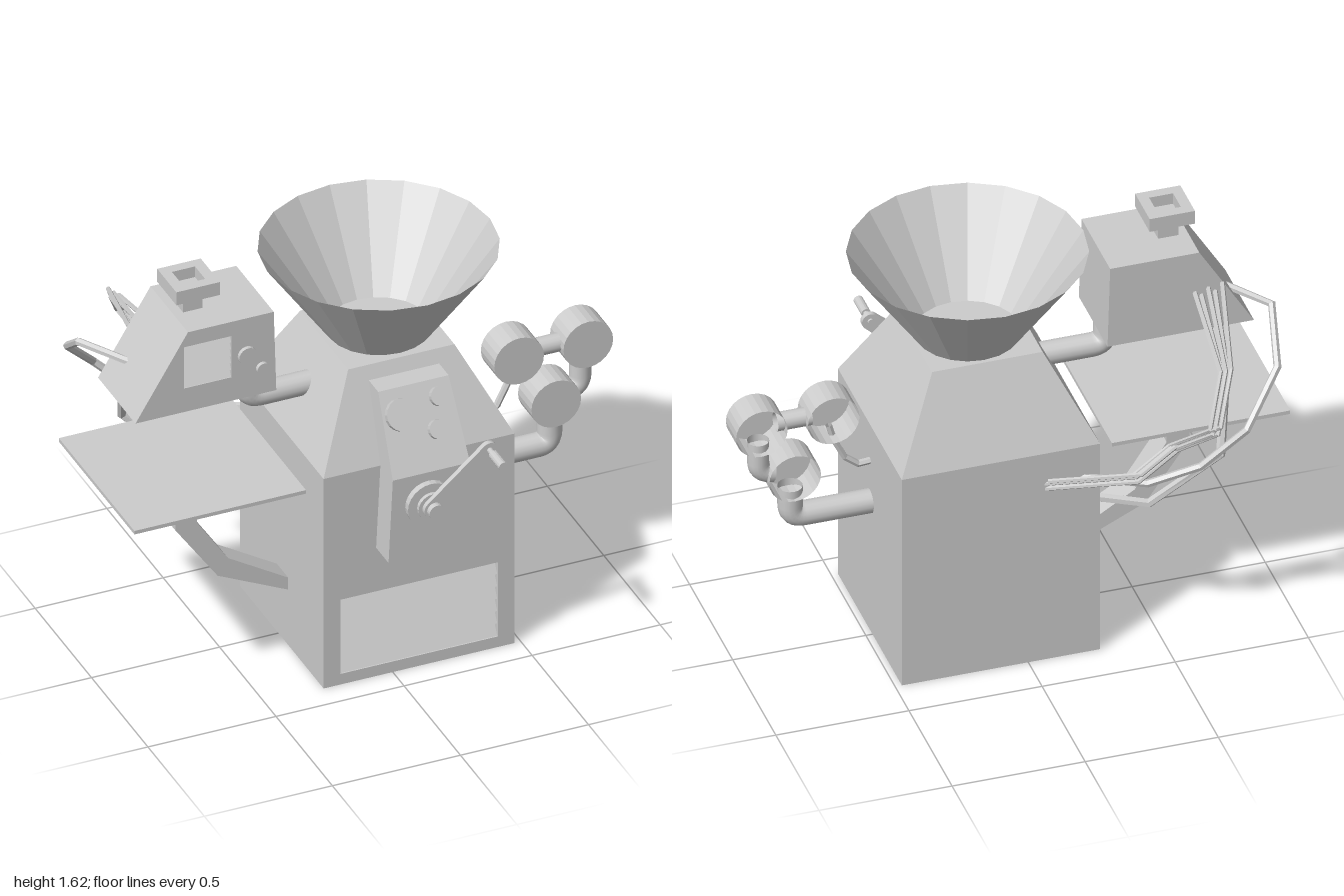
import * as THREE from 'three';

const mat = new THREE.MeshStandardMaterial({ color: 0xcccccc, flatShading: true });
const thin = new THREE.MeshStandardMaterial({ color: 0xcccccc, flatShading: true, side: THREE.DoubleSide });
const smooth = new THREE.MeshStandardMaterial({ color: 0xcccccc, side: THREE.DoubleSide });

// Curve through straight segments, sampled exactly at its corners
class Polyline extends THREE.Curve {
  constructor(points) { super(); this.points = points; }
  getPointAt(u) { return this.points[Math.round(u * (this.points.length - 1))].clone(); }
  getTangentAt(u) {
    const p = this.points, i = Math.round(u * (p.length - 1));
    const t = new THREE.Vector3();
    if (i > 0) t.add(p[i].clone().sub(p[i - 1]).normalize());
    if (i < p.length - 1) t.add(p[i + 1].clone().sub(p[i]).normalize());
    return t.normalize();
  }
}

const vectors = (pts) => pts.map((p) => new THREE.Vector3(...p));

// Replaces inner corners by short arcs
function rounded(points, r) {
  const out = [points[0]];
  for (let i = 1; i < points.length - 1; i++) {
    const c = points[i];
    const a = c.clone().add(points[i - 1].clone().sub(c).setLength(r));
    const b = c.clone().add(points[i + 1].clone().sub(c).setLength(r));
    out.push(...new THREE.QuadraticBezierCurve3(a, c, b).getPoints(6));
  }
  out.push(points[points.length - 1]);
  return out;
}

const polygon = (pts) => new THREE.Shape(pts.map((p) => new THREE.Vector2(...p)));
const rect = (x0, x1, y0, y1) => [[x0, y0], [x1, y0], [x1, y1], [x0, y1]];

function extrude(pts, z0, z1, hole) {
  const shape = polygon(pts);
  if (hole) shape.holes.push(polygon(hole));
  return new THREE.ExtrudeGeometry(shape, { depth: z1 - z0, bevelEnabled: false, curveSegments: 10 }).translate(0, 0, z0);
}

export function createModel() {
  const model = new THREE.Group();

  const add = (name, geometry, material = mat, parent = model) => {
    const mesh = new THREE.Mesh(geometry, material);
    mesh.name = name;
    parent.add(mesh);
    return mesh;
  };
  const box = (name, x0, x1, y0, y1, z0, z1) =>
    add(name, new THREE.BoxGeometry(x1 - x0, y1 - y0, z1 - z0).translate((x0 + x1) / 2, (y0 + y1) / 2, (z0 + z1) / 2));
  const disc = (name, x, y, z0, z1, r, sides = 20) =>
    add(name, new THREE.CylinderGeometry(r, r, z1 - z0, sides).rotateX(Math.PI / 2).translate(x, y, (z0 + z1) / 2));
  const pipe = (name, pts, r, bend = 0.06) => {
    const path = rounded(vectors(pts), bend);
    return add(name, new THREE.TubeGeometry(new Polyline(path), path.length - 1, r, 16), smooth);
  };
  const wire = (name, pts, r) =>
    add(name, new THREE.TubeGeometry(new Polyline(vectors(pts)), pts.length - 1, r, 6), thin);

  // Overlapping sloped slats filling a recess
  const louvre = (name, x0, x1, y0, y1, z0, z1, count) => {
    const group = new THREE.Group();
    group.name = name;
    const h = (y1 - y0) / count;
    for (let i = 0; i < count; i++) {
      const y = y0 + i * h;
      const slat = extrude([[z0, y], [z1, y], [z0 + 0.004, y + h], [z0, y + h]], -(x1 - x0) / 2, (x1 - x0) / 2);
      add('slat', slat.rotateY(-Math.PI / 2).translate((x0 + x1) / 2, 0, 0), mat, group);
    }
    model.add(group);
  };

  // Main body with a recessed grille and tapered shoulders
  box('body', -0.27, 0.475, 0, 0.89, -0.34, 0.365);
  add('bodyFront', extrude(rect(-0.27, 0.475, 0, 0.89), 0.365, 0.4, rect(-0.205, 0.41, 0.045, 0.36)));
  louvre('bodyGrille', -0.205, 0.41, 0.045, 0.36, 0.36, 0.395, 6);
  const shoulders = new THREE.BoxGeometry(0.745, 0.33, 0.74).toNonIndexed();
  const sp = shoulders.attributes.position;
  for (let i = 0; i < sp.count; i++) {
    if (sp.getY(i) > 0) sp.setXYZ(i, sp.getX(i) * 0.557, sp.getY(i), sp.getZ(i) * 0.574);
  }
  shoulders.computeVertexNormals();
  add('shoulders', shoulders).position.set(0.1025, 1.055, 0.03);

  // Open feed funnel
  add('funnel', new THREE.CylinderGeometry(0.435, 0.192, 0.345, 20, 1, true), thin).position.set(0.11, 1.3925, 0.025);

  // Control box, narrowing towards the top
  const panel = extrude([[0.2, 0.545], [0.51, 0.545], [0.51, 0.89], [0.35, 1.17], [0.2, 1.17]], -0.1675, 0.1675)
    .rotateY(-Math.PI / 2);
  const pp = panel.attributes.position;
  for (let i = 0; i < pp.count; i++) pp.setX(i, pp.getX(i) * (1 - 0.18 * (pp.getY(i) - 0.545) / 0.625));
  panel.computeVertexNormals();
  add('controlBox', panel).position.x = 0.1025;
  for (const [x, y, r] of [[0.03, 1.085, 0.06], [0.185, 1.115, 0.036], [0.155, 1.015, 0.036]]) {
    const knob = add('knob', new THREE.CylinderGeometry(r, r, 0.05, 18));
    knob.position.set(x, y, 0.51 - (y - 0.89) * 0.571);
    knob.rotation.x = Math.atan2(0.28, 0.16);
  }

  // Hand crank
  disc('crankPlate', 0.09, 0.765, 0.5, 0.535, 0.09, 24);
  disc('crankCollar', 0.09, 0.765, 0.53, 0.55, 0.055);
  disc('crankHub', 0.09, 0.765, 0.53, 0.59, 0.03);
  const arm = new THREE.Shape();
  arm.absarc(0, 0, 0.04, Math.PI / 2, Math.PI * 1.5);
  arm.absarc(0.29, 0, 0.032, -Math.PI / 2, Math.PI / 2);
  const armMesh = add('crankArm', new THREE.ExtrudeGeometry(arm, { depth: 0.02, bevelEnabled: false, curveSegments: 10 }));
  armMesh.position.set(0.09, 0.765, 0.548);
  armMesh.rotation.z = Math.atan2(0.195, 0.215);
  disc('handlePin', 0.305, 0.963, 0.54, 0.61, 0.011, 12);
  disc('handleGrip', 0.305, 0.963, 0.6, 0.69, 0.018, 14);

  // Pipe run with three drums, each open at the back
  for (const [x, y] of [[0.775, 0.755], [0.63, 0.975], [0.9, 0.975]]) {
    const drum = [[0, 0.06], [0.097, 0.06], [0.097, -0.06]].map((p) => new THREE.Vector2(...p));
    add('drum', new THREE.LatheGeometry(drum, 24).rotateX(Math.PI / 2).translate(x, y, 0.03), thin);
  }
  pipe('lowerPipe', [[0.45, 0.56, 0.03], [0.775, 0.56, 0.03], [0.775, 0.69, 0.03]], 0.046, 0.05);
  pipe('elbowPipe', [[0.84, 0.765, 0.03], [0.895, 0.775, 0.03], [0.895, 0.91, 0.03]], 0.04, 0.045);
  pipe('linkPipe', [[0.7, 0.975, 0.03], [0.83, 0.975, 0.03]], 0.035);
  wire('drumWire', [[0.63, 0.92, 0.03], [0.61, 0.85, 0.03], [0.57, 0.77, 0.03], [0.52, 0.73, 0.03], [0.46, 0.735, 0.03]], 0.013);

  // Side head with sloped flank, grille and dials
  const outline = [[-0.91, 1.165], [-0.36, 1.165], [-0.37, 1.5], [-0.705, 1.5]];
  add('head', extrude(outline, -0.147, 0.16));
  add('headFront', extrude(outline, 0.16, 0.185, rect(-0.72, -0.535, 1.265, 1.44)));
  louvre('headGrille', -0.72, -0.535, 1.265, 1.44, 0.158, 0.182, 6);
  disc('dial', -0.475, 1.345, 0.18, 0.2, 0.036);
  disc('dial', -0.415, 1.275, 0.18, 0.2, 0.025);

  // Square chimney with a hollow cap
  box('chimneyStem', -0.668, -0.592, 1.49, 1.58, -0.018, 0.058);
  const cap = extrude(rect(-0.085, 0.085, -0.085, 0.085), 0, 0.055, rect(-0.045, 0.045, -0.045, 0.045));
  add('chimneyCap', cap.rotateX(-Math.PI / 2)).position.set(-0.63, 1.57, 0.02);
  box('chimneyFloor', -0.68, -0.58, 1.571, 1.58, -0.03, 0.07);
  pipe('headPipe', [[-0.41, 1.2, 0.03], [-0.41, 1.06, 0.03], [-0.15, 1.06, 0.03]], 0.045, 0.055);

  // Side table on a bent bracket
  box('table', -1, -0.33, 0.832, 0.847, -0.29, 0.38);
  add('tableBracket', extrude([[-0.71, 0.835], [-0.71, 0.6], [-0.545, 0.365], [-0.26, 0.23],
    [-0.26, 0.28], [-0.505, 0.43], [-0.625, 0.61], [-0.625, 0.835]], -0.015, 0.085));

  // Loose cables from the head round to the back of the body
  const bundle = [[-0.74, 1.33, -0.14], [-0.68, 1.23, -0.53], [-0.6, 1.08, -0.66],
    [-0.5, 0.93, -0.5], [-0.35, 0.83, -0.51], [-0.06, 0.745, -0.33]];
  for (let k = -2; k <= 2; k++) {
    const dy = [0.012, -0.015, 0.01, -0.008, 0.015][k + 2];
    wire('bundleCable', bundle.map(([x, y, z], i) =>
      [x + k * (i === 0 ? 0.025 : 0.008), y + dy - k * 0.006, z + k * 0.006]), 0.009);
  }
  wire('longCable', [[-0.82, 1.27, -0.03], [-0.95, 1.28, -0.23], [-0.91, 1.14, -0.42], [-0.76, 0.97, -0.53],
    [-0.6, 0.82, -0.49], [-0.42, 0.745, -0.43], [-0.2, 0.755, -0.33]], 0.015);
  wire('lowCable', [[-0.78, 1.2, -0.1], [-0.75, 1.0, -0.3], [-0.7, 0.8, -0.41],
    [-0.46, 0.58, -0.32], [-0.25, 0.61, -0.25]], 0.018);

  return model;
}
